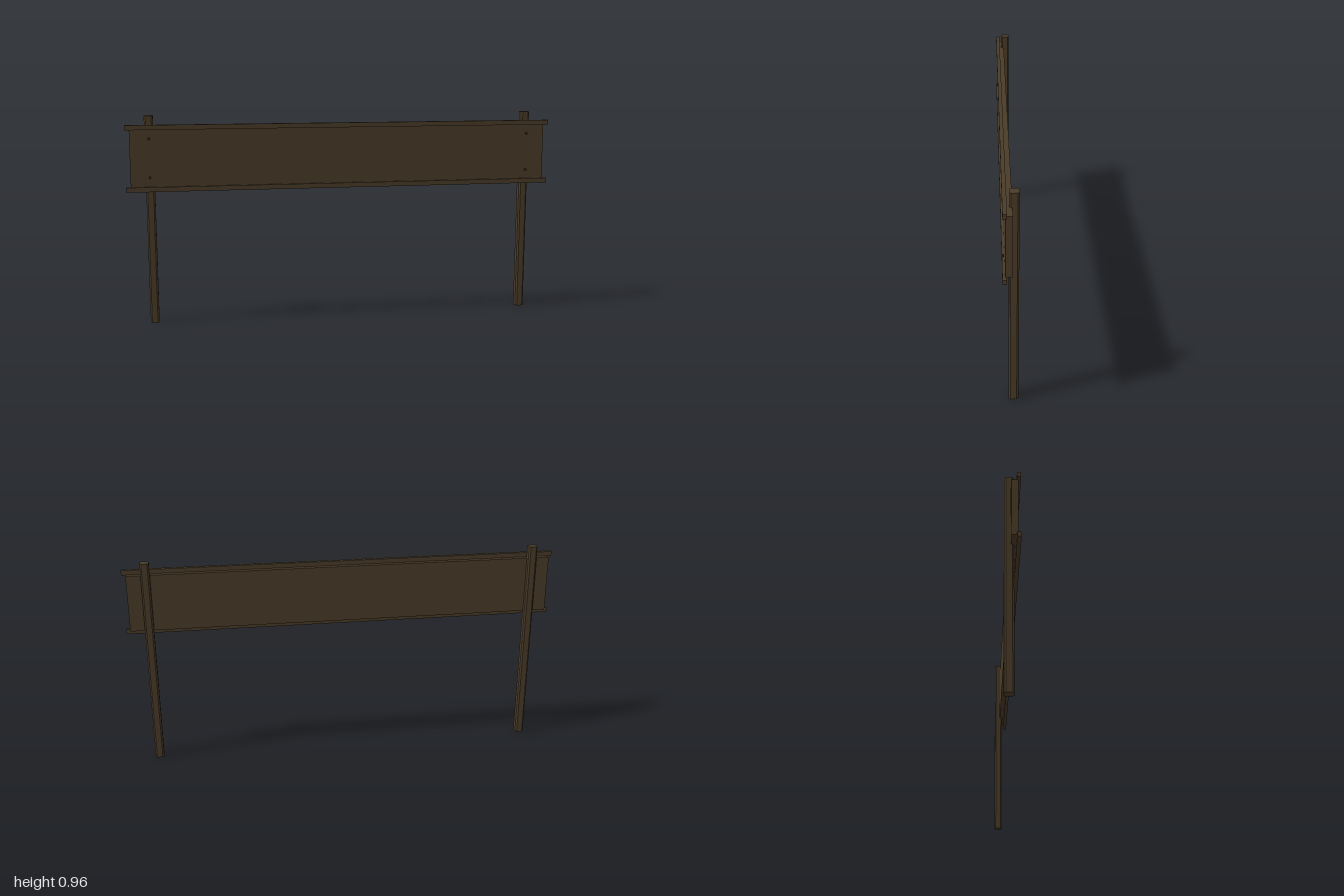
import * as THREE from 'three';

export function createModel() {
  const group = new THREE.Group();
  group.name = 'signBoard';

  const wood = new THREE.MeshStandardMaterial({ color: 0x4a3b28 });
  wood.name = 'dark brown wood';
  const metal = new THREE.MeshStandardMaterial({ color: 0x35291b });
  metal.name = 'dark bolt';

  const add = (name, geometry, material, x, y, z) => {
    const mesh = new THREE.Mesh(geometry, material);
    mesh.name = name;
    mesh.position.set(x, y, z);
    group.add(mesh);
  };

  // Board and the two rails trimming its long edges
  add('board', new THREE.BoxGeometry(1.96, 0.263, 0.028), wood, 0, 0.773, 0.009);
  const rail = new THREE.BoxGeometry(2, 0.022, 0.017);
  add('topRail', rail, wood, 0, 0.914, 0.0255);
  add('bottomRail', rail, wood, 0, 0.632, 0.0255);

  // Square post section with chamfered corners
  const h = 0.02, c = 0.013;
  const section = new THREE.Shape([
    [h, -c], [h, c], [c, h], [-c, h], [-h, c], [-h, -c], [-c, -h], [c, -h],
  ].map(([x, y]) => new THREE.Vector2(x, y)));
  const post = new THREE.ExtrudeGeometry(section, { depth: 0.965, bevelEnabled: false });
  post.rotateX(-Math.PI / 2);

  const bolt = new THREE.CylinderGeometry(0.006, 0.006, 0.007, 8);
  bolt.rotateX(Math.PI / 2);

  // Post and its pair of bolts on each side
  for (const [side, label] of [[1, 'left'], [-1, 'right']]) {
    const x = side * 0.893;
    add(label + 'Post', post, wood, x, 0, -0.012);
    add(label + 'UpperBolt', bolt, metal, x, 0.862, 0.0305);
    add(label + 'LowerBolt', bolt, metal, x, 0.686, 0.0305);
  }

  return group;
}
